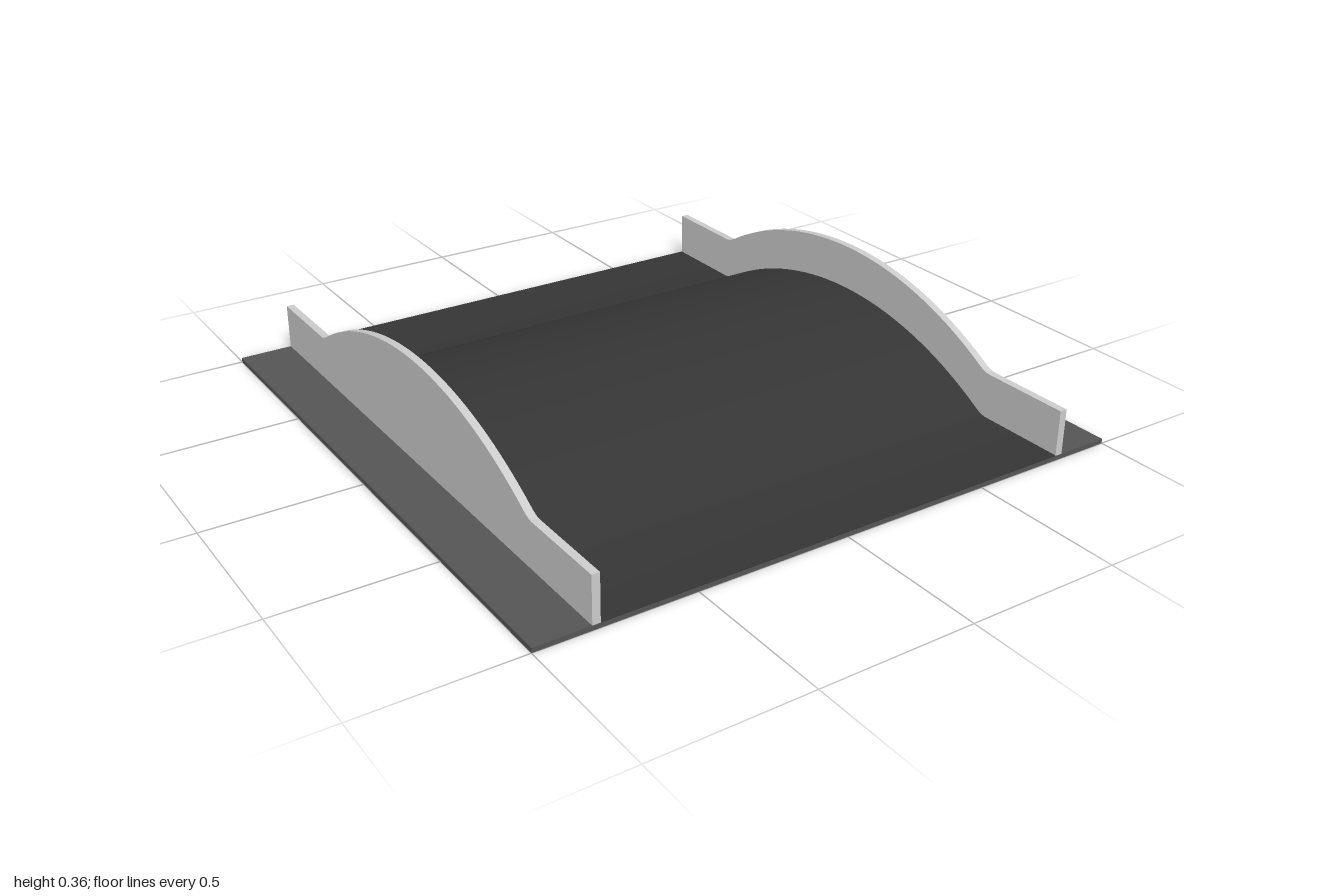
import * as THREE from 'three';
import { toCreasedNormals } from 'three/addons/utils/BufferGeometryUtils.js';

const SLAB = 0.015;   // slab thickness
const RISE = 0.195;   // height of the hump
const HALF = 0.68;    // half length of the hump
const RADIUS = (HALF * HALF + RISE * RISE) / (2 * RISE);

// Solid with a humped top edge, running along z, centred on x
function humped(bottom, top, width) {
  const zEnd = 0.655;
  const arc = (z) => top + RISE - RADIUS + Math.sqrt(RADIUS * RADIUS - z * z);
  const s = new THREE.Shape();
  s.moveTo(-1, bottom);
  s.lineTo(1, bottom);
  s.lineTo(1, top);
  s.lineTo(0.7, top);
  s.quadraticCurveTo(0.681, top, zEnd, arc(zEnd));
  const n = 40;
  for (let i = 1; i <= n; i++) {
    const z = zEnd * (1 - 2 * i / n);
    s.lineTo(z, arc(z));
  }
  s.quadraticCurveTo(-0.681, top, -0.7, top);
  s.lineTo(-1, top);
  s.closePath();
  const g = new THREE.ExtrudeGeometry(s, { depth: width, bevelEnabled: false, curveSegments: 6 });
  g.translate(0, 0, -width / 2);
  g.rotateY(-Math.PI / 2);
  return toCreasedNormals(g, 0.5);
}

export function createModel() {
  const model = new THREE.Group();
  model.name = 'humpBridge';
  const add = (name, geometry, color, x = 0, y = 0) => {
    const mesh = new THREE.Mesh(geometry, new THREE.MeshStandardMaterial({ color }));
    mesh.name = name;
    mesh.position.set(x, y, 0);
    model.add(mesh);
  };

  // Base slab, visible as a ledge on both sides
  add('baseSlab', new THREE.BoxGeometry(2, SLAB, 2), 0x555555, 0, SLAB / 2);

  // Road surface rising over the hump
  add('road', humped(SLAB, SLAB + 0.002, 1.6), 0x353535);

  // Side walls following the road
  const wall = humped(SLAB, 0.165, 0.025);
  add('leftWall', wall, 0xcccccc, 0.8125);
  add('rightWall', wall, 0xcccccc, -0.8125);

  return model;
}
